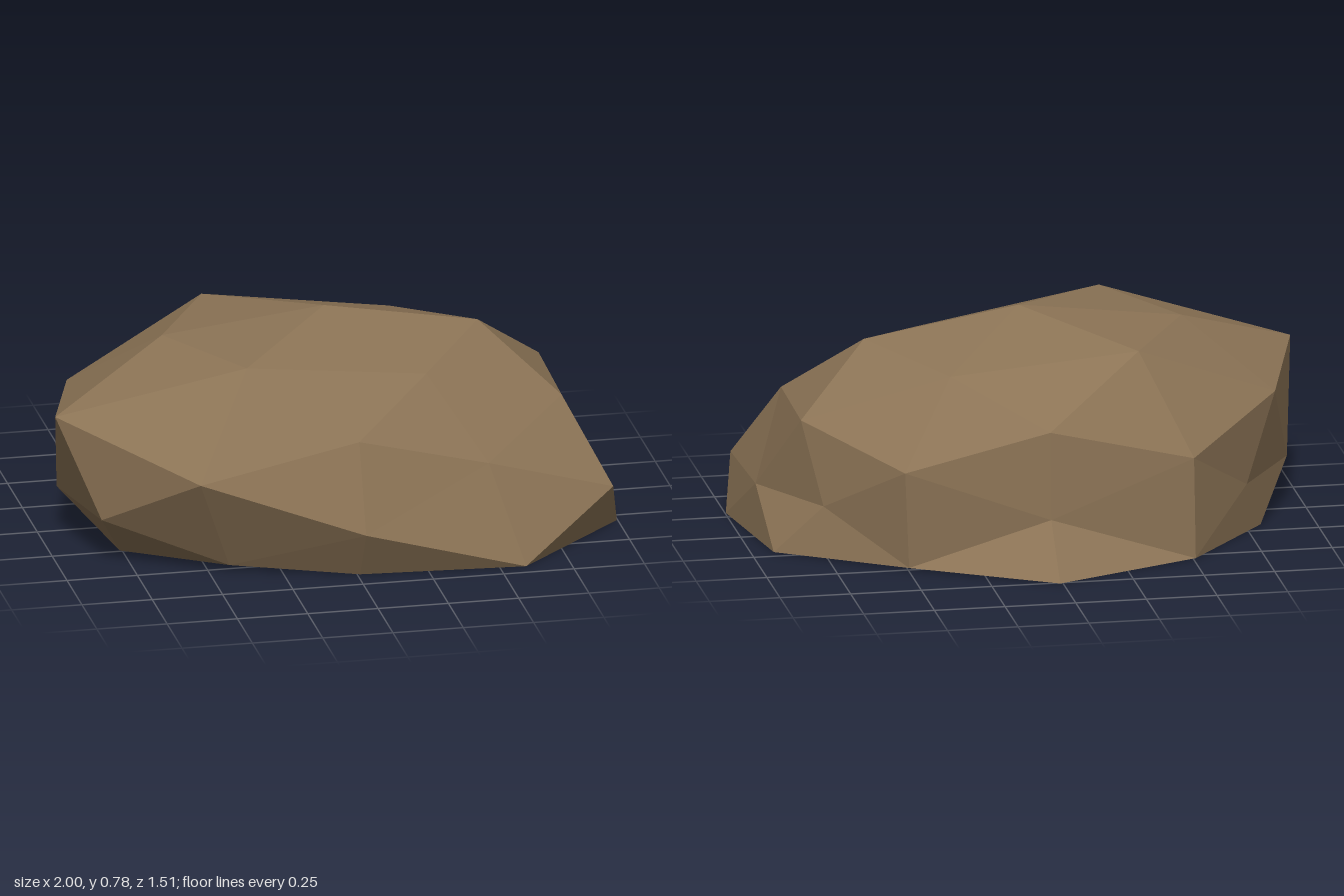
import * as THREE from 'three';

// Radial bulge of each point of a faceted ball. The key is |x|, y, |z| of the
// direction in tenths; the values are for (+x+z), (+x-z), (-x+z), (-x-z).
const BULGE = {
  // crown
  '0,10,0': [1.05, 1.05, 1.05, 1.05],
  '5,9,0': [1.04, 1.04, 1.095, 1.095],
  '3,8,5': [0.955, 0.98, 1.16, 1.14],
  // shoulders
  '0,5,9': [1.02, 1.04, 1.02, 1.04],
  '8,5,3': [0.99, 1.0, 1.25, 1.07],
  '5,3,8': [0.95, 1.01, 1.145, 1.03],
  // waist
  '10,0,0': [0.93, 0.93, 0.95, 0.95],
  '0,0,10': [1.035, 0.91, 1.035, 0.91],
  '9,0,5': [1.11, 0.88, 1.02, 0.88],
  // foot
  '5,-3,8': [1.165, 0.975, 0.88, 1.04],
  '8,-5,3': [1.22, 1.125, 0.95, 1.01],
  '0,-5,9': [1.04, 1.36, 1.04, 1.36],
};

const CENTRE = new THREE.Vector3(0.01, 0.18, 0.04);
const RADII = new THREE.Vector3(1, 0.57, 0.69);

function bulgeAt(d) {
  const t = (n) => Math.round(n * 10);
  const row = BULGE[`${t(Math.abs(d.x))},${t(d.y)},${t(Math.abs(d.z))}`];
  if (!row) return 1;
  return row[(d.x < -0.01 ? 2 : 0) + (d.z < -0.01 ? 1 : 0)];
}

export function createModel() {
  const stone = new THREE.MeshStandardMaterial({ color: 0x8b7355 });
  stone.name = 'brown stone';

  // Faceted ball, squashed, bulged and cut flat where it rests on the ground
  const geometry = new THREE.IcosahedronGeometry(1, 1);
  const pos = geometry.attributes.position;
  const p = new THREE.Vector3();
  for (let i = 0; i < pos.count; i++) {
    p.fromBufferAttribute(pos, i);
    p.multiplyScalar(bulgeAt(p)).multiply(RADII).add(CENTRE);
    pos.setXYZ(i, p.x, Math.max(0, p.y), p.z);
  }
  geometry.computeVertexNormals(); // unshared corners give flat facets

  const boulder = new THREE.Mesh(geometry, stone);
  boulder.name = 'boulder';

  const model = new THREE.Group();
  model.name = 'rock';
  model.add(boulder);
  return model;
}
